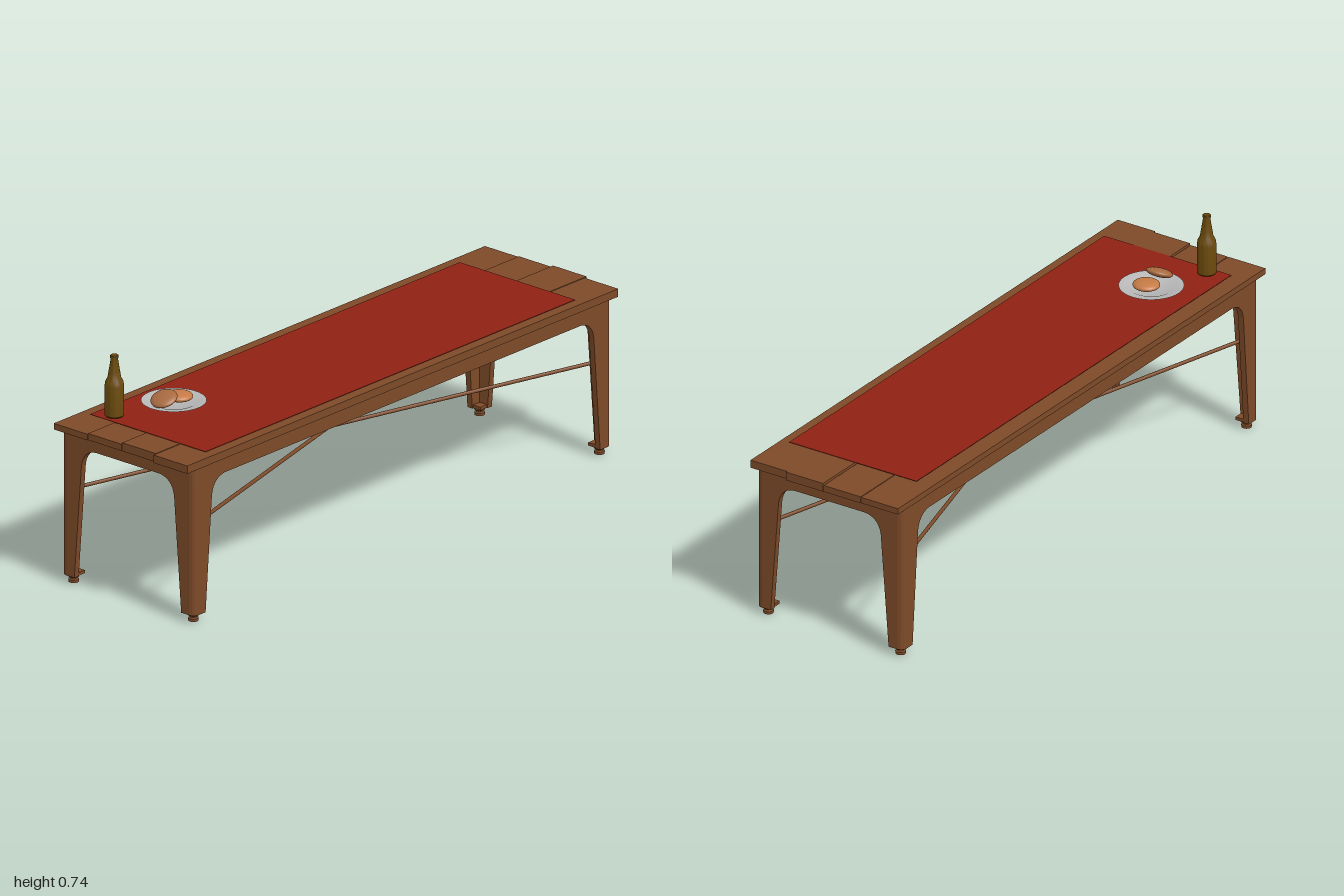
import * as THREE from 'three';
import { toCreasedNormals } from 'three/addons/utils/BufferGeometryUtils.js';

const mat = (color, side = THREE.FrontSide) => new THREE.MeshStandardMaterial({ color, side });
const WOOD = mat(0x7d4a28), CLOTH = mat(0x8f2214), GLASS = mat(0x6b4a0c);
const CHINA = mat(0xb8b8b8, THREE.DoubleSide), BUN = mat(0xc47a45), CRUST = mat(0xa86a40);

const OX = 0.963, OZ = 0.272;   // outer half sizes of the frame
const R = 0.02;                 // board thickness and corner radius
const LEG_Y = 0.025, TOP_Y = 0.508;

function add(parent, name, geometry, material, x = 0, y = 0, z = 0) {
  const mesh = new THREE.Mesh(geometry, material);
  mesh.name = name;
  mesh.position.set(x, y, z);
  parent.add(mesh);
  return mesh;
}

function lathe(points, segments = 32) {
  const geometry = new THREE.LatheGeometry(points.map(([r, y]) => new THREE.Vector2(r, y)), segments);
  return toCreasedNormals(geometry, 0.6);
}

// One side of the frame: apron with two tapered leg boards and curved brackets
function sideBoard(outer) {
  const w = outer - R;
  const s = new THREE.Shape();
  s.moveTo(-w, LEG_Y);
  s.lineTo(-(outer - 0.053), LEG_Y);
  s.lineTo(-(outer - 0.082), 0.4);
  s.quadraticCurveTo(-(outer - 0.089), 0.455, -(outer - 0.142), 0.46);
  s.lineTo(outer - 0.142, 0.46);
  s.quadraticCurveTo(outer - 0.089, 0.455, outer - 0.082, 0.4);
  s.lineTo(outer - 0.053, LEG_Y);
  s.lineTo(w, LEG_Y);
  s.lineTo(w, TOP_Y);
  s.lineTo(-w, TOP_Y);
  const geometry = new THREE.ExtrudeGeometry(s, { depth: R, bevelEnabled: false, curveSegments: 10 });
  return toCreasedNormals(geometry, 0.5);
}

// Rounded outer corner joining two boards
function cornerPost(start) {
  const s = new THREE.Shape();
  s.moveTo(0, 0);
  s.absarc(0, 0, R, start, start + Math.PI / 2);
  const geometry = new THREE.ExtrudeGeometry(s, { depth: TOP_Y - LEG_Y, bevelEnabled: false, curveSegments: 8 });
  return toCreasedNormals(geometry.rotateX(-Math.PI / 2), 0.5);
}

function rod(parent, a, b, radius) {
  const from = new THREE.Vector3(...a), to = new THREE.Vector3(...b);
  const dir = to.clone().sub(from);
  const mesh = add(parent, 'crossRod', new THREE.CylinderGeometry(radius, radius, dir.length(), 12), WOOD);
  mesh.position.copy(from).add(to).multiplyScalar(0.5);
  mesh.quaternion.setFromUnitVectors(new THREE.Vector3(0, 1, 0), dir.normalize());
}

export function createModel() {
  const model = new THREE.Group();
  model.name = 'diningTable';

  // Four uneven planks: left end, right end, top height, centre z
  [[-1, 0.988, 0.534, 0.208], [-0.99, 0.997, 0.536, 0.07],
    [-0.99, 0.997, 0.53, -0.07], [-0.993, 0.996, 0.528, -0.208]].forEach(([x0, x1, top, z]) => {
    add(model, 'plank', new THREE.BoxGeometry(x1 - x0, top - TOP_Y, 0.1375), WOOD,
      (x0 + x1) / 2, (top + TOP_Y) / 2, z);
  });

  // Frame boards on all four sides
  const frame = new THREE.Group();
  frame.name = 'frame';
  model.add(frame);
  for (let i = 0; i < 4; i++) {
    const end = i % 2 === 1;
    const pivot = new THREE.Group();
    pivot.name = end ? 'endSide' : 'longSide';
    pivot.rotation.y = i * Math.PI / 2;
    frame.add(pivot);
    add(pivot, 'sideBoard', sideBoard(end ? OZ : OX), WOOD, 0, 0, (end ? OX : OZ) - R);
  }

  // Corners, leg ends and turned feet
  const foot = lathe([[0, 0], [0.016, 0], [0.0165, 0.009], [0.011, 0.012], [0.011, 0.015],
    [0.017, 0.018], [0.017, 0.026], [0, 0.026]], 20);
  [[1, -1, 0], [-1, -1, 1], [-1, 1, 2], [1, 1, 3]].forEach(([sx, sz, quarter]) => {
    add(frame, 'legCorner', cornerPost(quarter * Math.PI / 2), WOOD, sx * (OX - R), LEG_Y, sz * (OZ - R));
    add(frame, 'legEnd', new THREE.BoxGeometry(0.04, 0.01, 0.04), WOOD,
      sx * (OX - 0.031), LEG_Y + 0.006, sz * (OZ - 0.031));
    add(frame, 'foot', foot, WOOD, sx * (OX - 0.0265), 0, sz * (OZ - 0.0265));
  });

  // Crossed stretchers between opposite legs
  rod(model, [-0.945, 0.316, 0.252], [0.945, 0.316, -0.252], 0.006);
  rod(model, [-0.945, 0.305, -0.252], [0.945, 0.305, 0.252], 0.006);

  // Table cloth
  add(model, 'cloth', new THREE.BoxGeometry(1.705, 0.0015, 0.473), CLOTH, -0.0275, 0.537, 0.0085);

  // Bottle
  add(model, 'bottle', lathe([[0, 0], [0.027, 0], [0.03, 0.004], [0.03, 0.1], [0.028, 0.113],
    [0.021, 0.126], [0.018, 0.145], [0.0115, 0.185], [0.0115, 0.19], [0.013, 0.191],
    [0.013, 0.198], [0.011, 0.2], [0, 0.2]]), GLASS, -0.845, 0.541, -0.16);

  // Plate with a wide sloping rim
  add(model, 'plate', lathe([[0, 0], [0.062, 0], [0.07, 0.006], [0.101, 0.012],
    [0.07, 0.008], [0.06, 0.003], [0, 0.003]], 40), CHINA, -0.655, 0.544, -0.085);

  // Two bread rolls, one leaning on the other
  const roll = new THREE.SphereGeometry(1, 32, 20);
  add(model, 'flatRoll', roll, BUN, -0.635, 0.565, -0.08).scale.set(0.042, 0.0145, 0.043);
  const leaning = add(model, 'leaningRoll', roll, CRUST, -0.706, 0.577, -0.08);
  leaning.scale.set(0.042, 0.014, 0.043);
  leaning.rotation.z = 0.4;

  return model;
}
